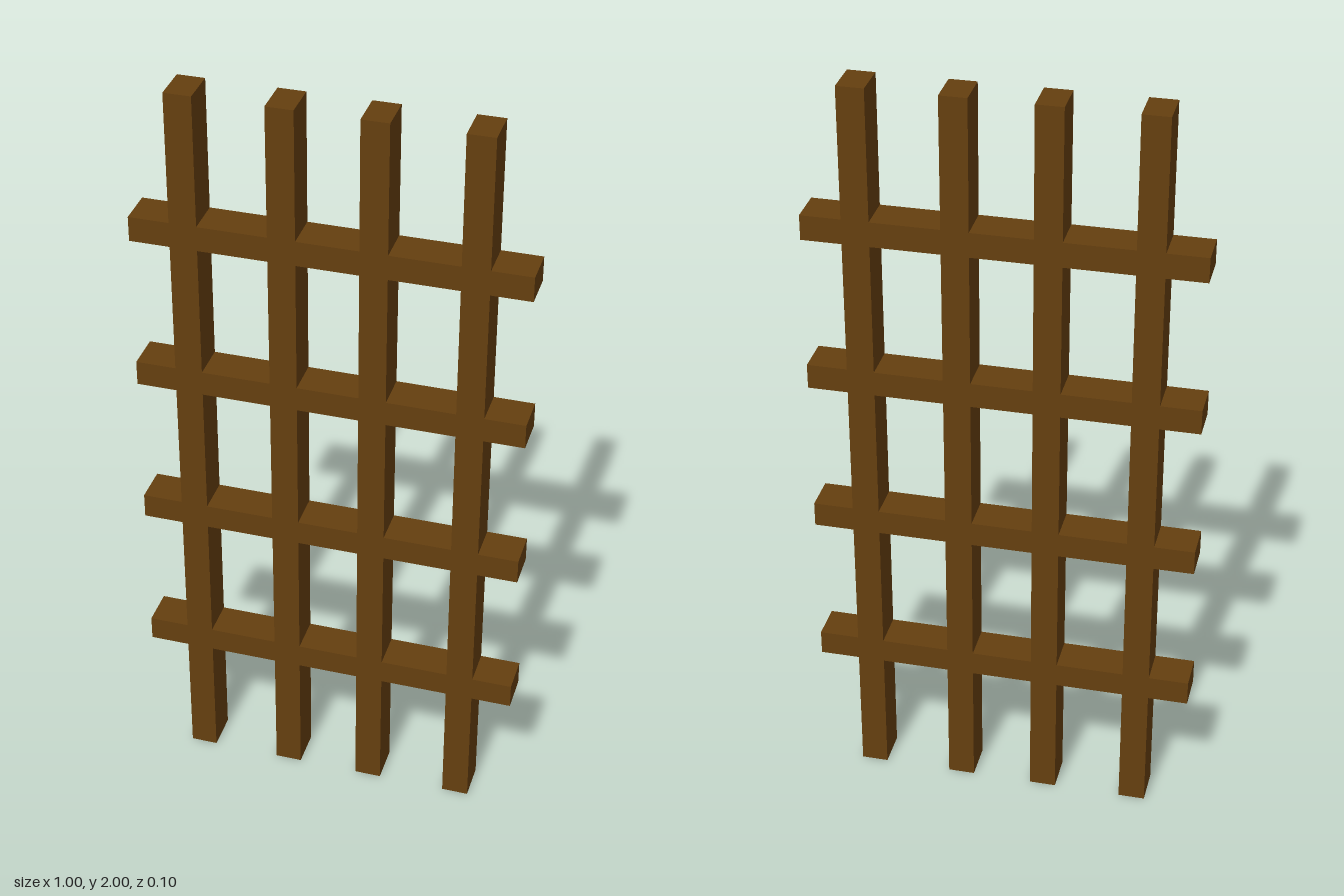
import * as THREE from 'three';

const DEPTH = 0.1;
const POST_WIDTH = 0.07;
const RAIL_HEIGHT = 0.066;

export function createModel() {
  const group = new THREE.Group();
  group.name = 'trellis';
  const wood = new THREE.MeshStandardMaterial({ color: 0x653f0f, flatShading: true });

  const addBeam = (name, width, height, x, y) => {
    const beam = new THREE.Mesh(new THREE.BoxGeometry(width, height, DEPTH), wood);
    beam.name = name;
    beam.position.set(x, y, 0);
    group.add(beam);
  };

  // Upright posts, mirrored about the centre
  [-0.361, -0.114, 0.114, 0.361].forEach((x, i) => addBeam(`post${i + 1}`, POST_WIDTH, 2, x, 1));

  // Cross rails, evenly spaced and flush with the posts
  for (let i = 0; i < 4; i++) addBeam(`rail${i + 1}`, 1, RAIL_HEIGHT, 0, 0.378 + i * 0.415);

  return group;
}
